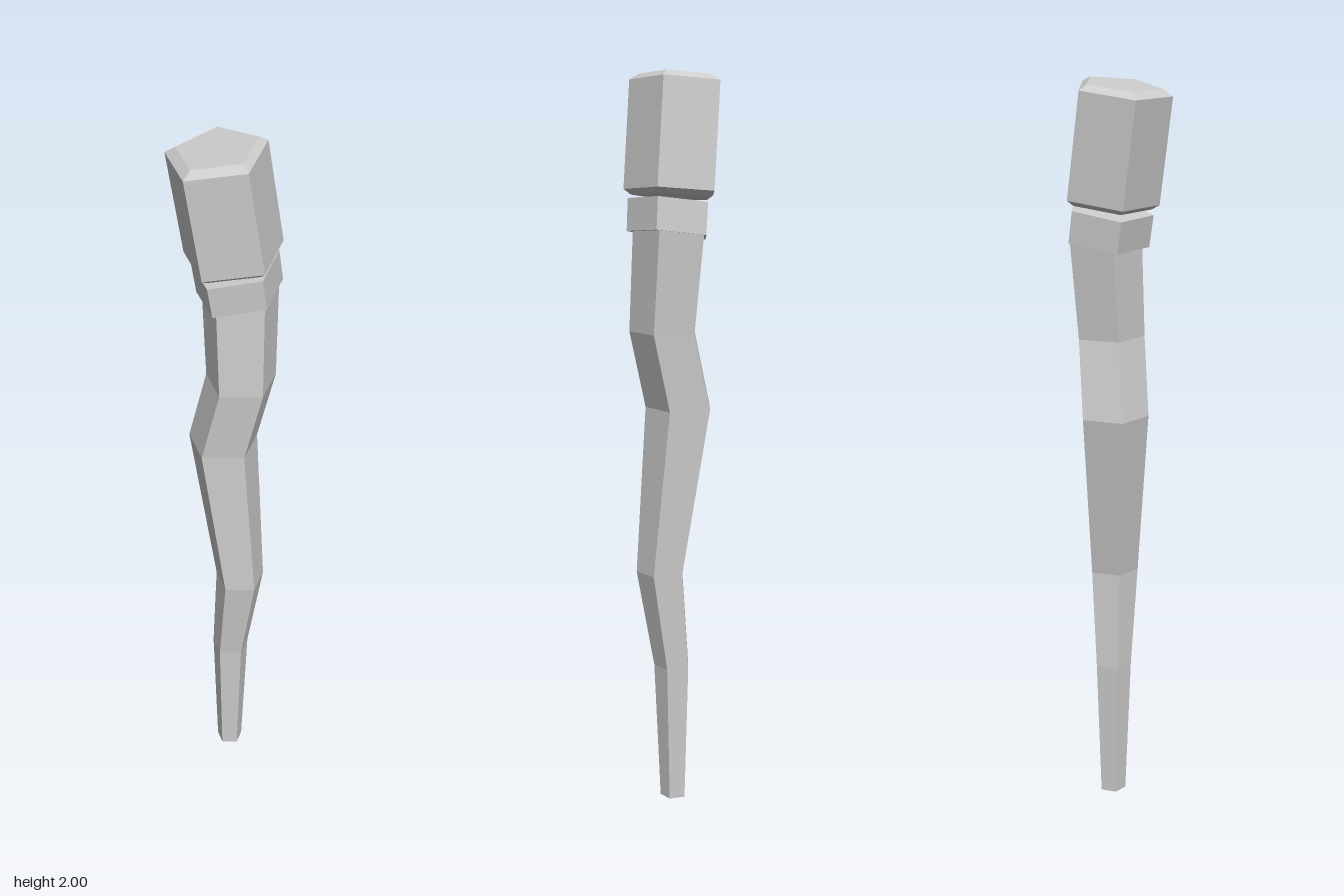
import * as THREE from 'three';

const SIDES = 5;

// Pentagon ring with a flat side to the front; sx and sz slope it along x and z.
function ringPoints({ c, r, sx = 0, sz = 0 }) {
  return Array.from({ length: SIDES }, (_, k) => {
    const a = ((k + 0.5) / SIDES) * Math.PI * 2;
    const dx = r * Math.sin(a), dz = r * Math.cos(a);
    return [c[0] + dx, c[1] + sx * dx + sz * dz, c[2] + dz];
  });
}

// Closed, faceted solid through a stack of rings, listed from bottom to top.
function loft(name, rings) {
  const loops = rings.map(ringPoints);
  const pos = [];
  const tri = (a, b, c) => pos.push(...a, ...b, ...c);
  const last = loops.length - 1;
  for (let k = 0; k < SIDES; k++) {
    const n = (k + 1) % SIDES;
    for (let i = 0; i < last; i++) {
      const lo = loops[i], hi = loops[i + 1];
      tri(lo[k], lo[n], hi[n]);
      tri(lo[k], hi[n], hi[k]);
    }
    tri(rings[0].c, loops[0][n], loops[0][k]);
    tri(rings[last].c, loops[last][k], loops[last][n]);
  }
  const geo = new THREE.BufferGeometry();
  geo.setAttribute('position', new THREE.Float32BufferAttribute(pos, 3));
  geo.computeVertexNormals();
  const mesh = new THREE.Mesh(geo, new THREE.MeshStandardMaterial({ color: 0xcccccc, flatShading: true }));
  mesh.name = name;
  return mesh;
}

export function createModel() {
  const group = new THREE.Group();
  group.name = 'crookedClub';
  const collarTilt = { sx: 0.18, sz: -0.03 };
  const headTilt = { sx: 0.135, sz: -0.04 };

  // Crooked handle, thickening upwards
  group.add(loft('handle', [
    { c: [0.01, 0, 0.011], r: 0.037 },
    { c: [0.012, 0.38, 0.012], r: 0.052 },
    { c: [0.038, 0.65, 0.031], r: 0.069 },
    { c: [-0.009, 1.105, 0], r: 0.096 },
    { c: [0.038, 1.315, 0.018], r: 0.096 },
    { c: [0.035, 1.58, -0.003], r: 0.104, ...collarTilt },
  ]));

  // Collar band below the head
  group.add(loft('collar', [
    { c: [0.033, 1.573, 0.004], r: 0.116, ...collarTilt },
    { c: [0.021, 1.659, 0.008], r: 0.117, ...collarTilt },
  ]));

  // Head with chamfered ends
  group.add(loft('head', [
    { c: [0.018, 1.672, 0.006], r: 0.112, ...headTilt },
    { c: [0.017, 1.686, 0.006], r: 0.132, ...headTilt },
    { c: [-0.025, 1.97, 0.017], r: 0.132, ...headTilt },
    { c: [-0.023, 1.986, 0.017], r: 0.106, ...headTilt },
  ]));
  return group;
}
